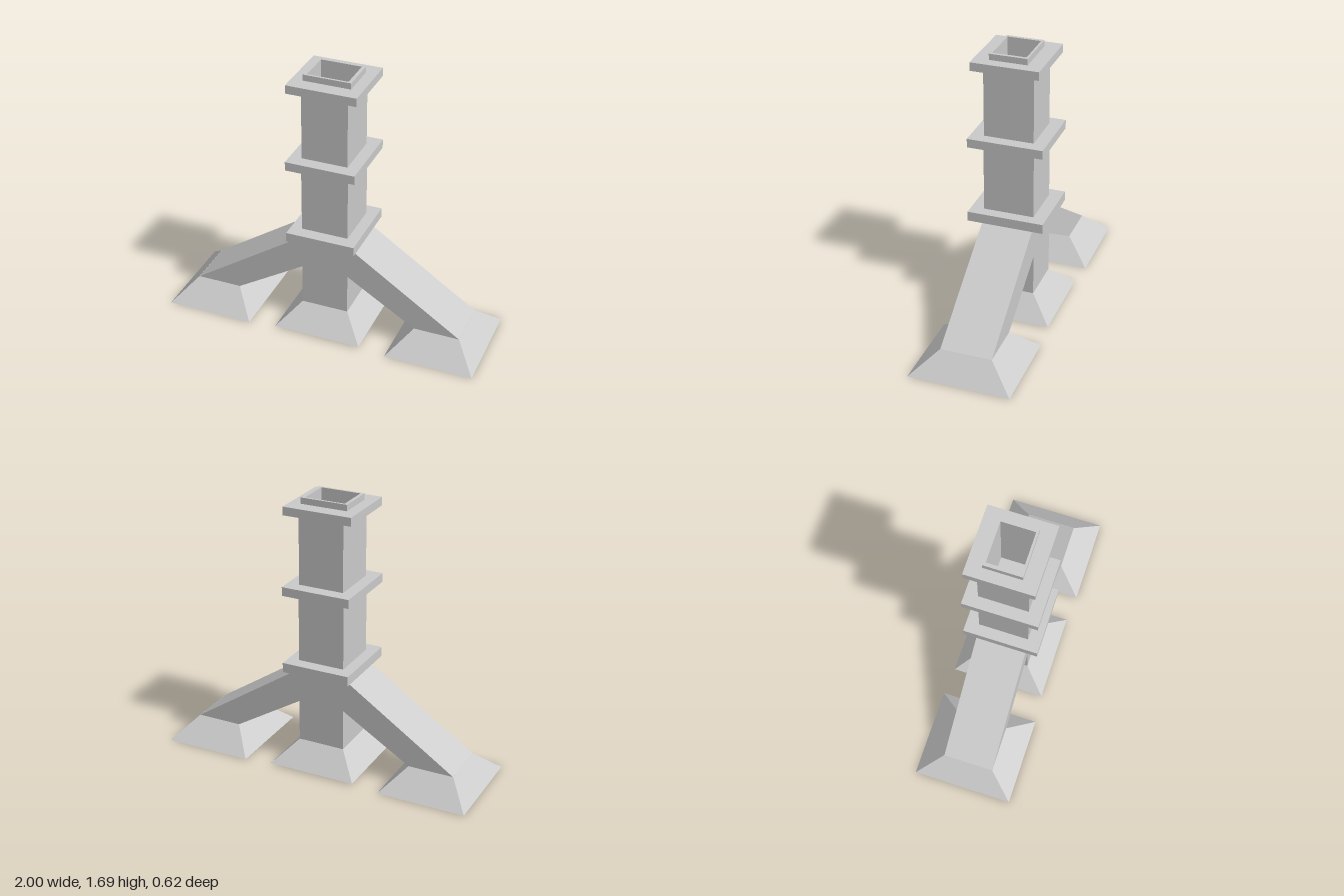
import * as THREE from 'three';

const material = new THREE.MeshStandardMaterial({ color: 0xcccccc, flatShading: true });

function add(parent, name, geometry, x = 0, y = 0, z = 0) {
  const mesh = new THREE.Mesh(geometry, material);
  mesh.name = name;
  mesh.position.set(x, y, z);
  parent.add(mesh);
  return mesh;
}

// Solid block given by half width, half depth and its bottom and top heights
function block(parent, name, hx, hz, y0, y1) {
  return add(parent, name, new THREE.BoxGeometry(hx * 2, y1 - y0, hz * 2), 0, (y0 + y1) / 2);
}

// Block with a rectangular shaft through it
function tube(parent, name, hx, hz, y0, y1, holeX, holeZ) {
  const rect = (Type, a, b) => new Type([[-a, -b], [a, -b], [a, b], [-a, b]].map(p => new THREE.Vector2(...p)));
  const shape = rect(THREE.Shape, hx, hz);
  shape.holes.push(rect(THREE.Path, holeX, holeZ));
  const geo = new THREE.ExtrudeGeometry(shape, { depth: y1 - y0, bevelEnabled: false });
  geo.rotateX(-Math.PI / 2);
  return add(parent, name, geo, 0, y0);
}

// Box whose upper corners are drawn in to form a sloped foot
function foot(parent, name, x, y0, y1, bottom, top) {
  const geo = new THREE.BoxGeometry(2, y1 - y0, 2).toNonIndexed();
  const pos = geo.attributes.position;
  for (let i = 0; i < pos.count; i++) {
    const [hx, hz] = pos.getY(i) > 0 ? top : bottom;
    pos.setX(i, pos.getX(i) * hx);
    pos.setZ(i, pos.getZ(i) * hz);
  }
  geo.computeVertexNormals();
  return add(parent, name, geo, x, (y0 + y1) / 2);
}

export function createModel() {
  const model = new THREE.Group();
  model.name = 'bracedChimney';

  // Centre column, slightly narrower at each stage; the top stage is hollow
  foot(model, 'centreFoot', 0, 0.01, 0.145, [0.277, 0.297], [0.148, 0.158]);
  block(model, 'lowerColumn', 0.148, 0.158, 0.145, 0.62);
  block(model, 'lowerCollar', 0.216, 0.236, 0.62, 0.68);
  block(model, 'middleColumn', 0.147, 0.156, 0.68, 1.112);
  block(model, 'middleCollar', 0.216, 0.232, 1.112, 1.167);
  tube(model, 'upperColumn', 0.143, 0.153, 1.167, 1.6, 0.126, 0.102);
  tube(model, 'topCollar', 0.216, 0.207, 1.6, 1.652, 0.126, 0.102);
  tube(model, 'topRim', 0.147, 0.116, 1.652, 1.69, 0.126, 0.102);

  // Slanted side braces, each ending in a sloped foot
  const profile = new THREE.Shape(
    [[0.148, 0.405], [0.581, 0.14], [0.866, 0.14], [0.148, 0.62]].map(p => new THREE.Vector2(...p)));
  for (const [side, turn] of [['left', 0], ['right', Math.PI]]) {
    const brace = new THREE.Group();
    brace.name = side + 'Brace';
    const beam = new THREE.ExtrudeGeometry(profile, { depth: 0.316, bevelEnabled: false });
    add(brace, side + 'Beam', beam, 0, 0, -0.158);
    foot(brace, side + 'Foot', 0.7245, 0, 0.14, [0.2755, 0.312], [0.1425, 0.158]);
    brace.rotation.y = turn;
    model.add(brace);
  }
  return model;
}
